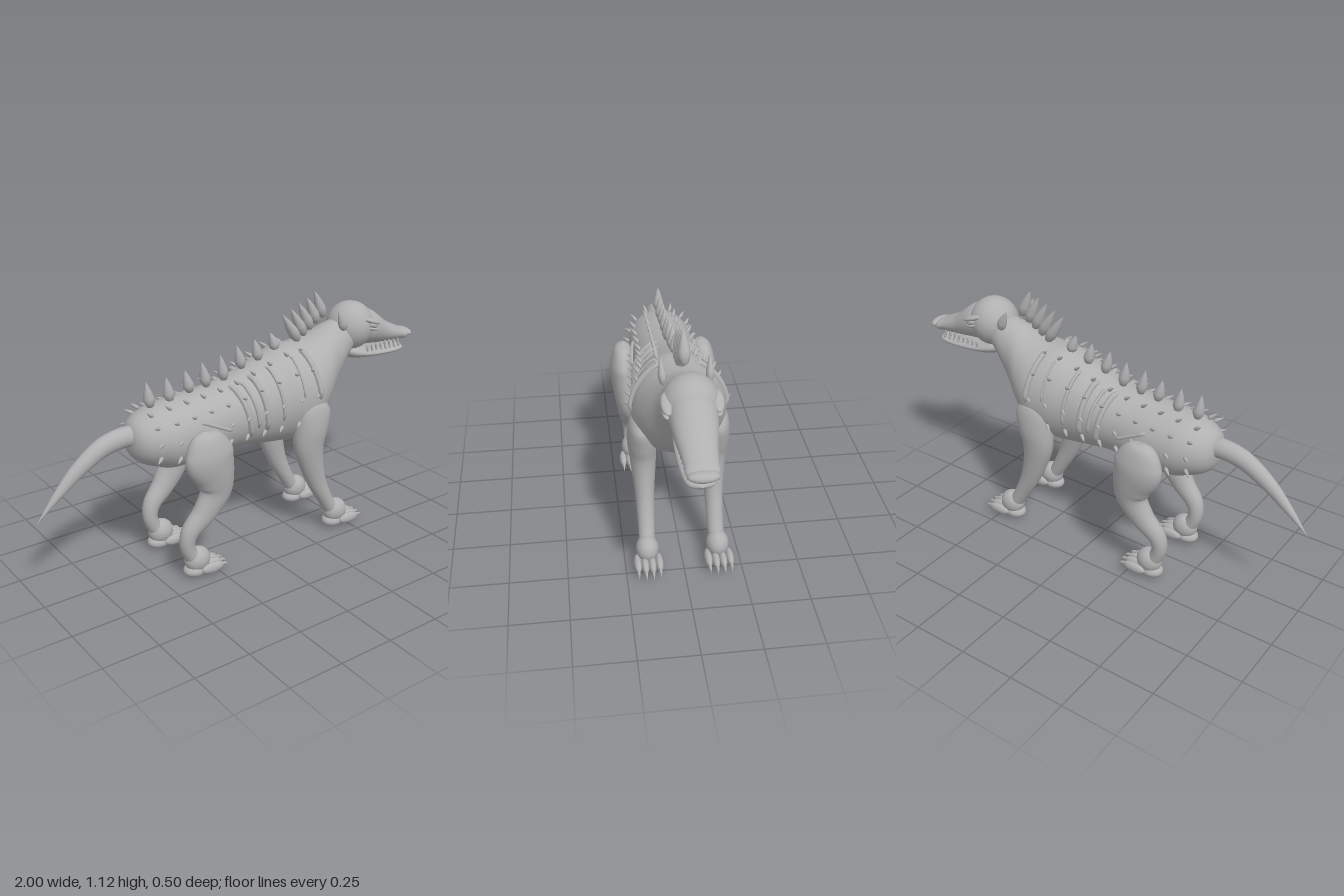
import * as THREE from 'three';

const V = (x, y, z = 0) => new THREE.Vector3(x, y, z);

export function createModel() {
  const model = new THREE.Group();
  const grey = new THREE.MeshStandardMaterial({ color: 0xb0b0b0 });
  const add = (name, geometry, parent = model) => {
    const mesh = new THREE.Mesh(geometry, grey);
    mesh.name = name;
    parent.add(mesh);
    return mesh;
  };
  const group = (name) => {
    const g = new THREE.Group();
    g.name = name;
    model.add(g);
    return g;
  };

  // Smooth cross-section along a list of [x, y, z, in-plane radius, z radius]
  function spline(rows) {
    const centre = new THREE.CatmullRomCurve3(rows.map(r => V(r[0], r[1], r[2])), false, 'catmullrom', 0.5);
    const radius = new THREE.CatmullRomCurve3(rows.map(r => V(r[3], r[4])), false, 'catmullrom', 0.5);
    return (t) => ({ p: centre.getPoint(t), tan: centre.getTangent(t), r: radius.getPoint(t) });
  }
  // Elliptic loft; sections are upright or follow the path in the xy plane
  function loft(rows, upright = false, steps = 48, sides = 28) {
    const at = spline(rows), pos = [], index = [];
    for (let i = 0; i <= steps; i++) {
      const { p, tan, r } = at(i / steps);
      const n = upright ? V(0, 1) : V(-tan.y, tan.x).normalize();
      for (let j = 0; j < sides; j++) {
        const a = j / sides * Math.PI * 2;
        const u = Math.max(r.x, 0.0004) * Math.cos(a), w = Math.max(r.y, 0.0004) * Math.sin(a);
        pos.push(p.x + n.x * u, p.y + n.y * u, p.z + w);
        if (i < steps) {
          const b = i * sides + j, c = i * sides + (j + 1) % sides;
          index.push(b, c, b + sides, c, c + sides, b + sides);
        }
      }
    }
    const g = new THREE.BufferGeometry();
    g.setAttribute('position', new THREE.Float32BufferAttribute(pos, 3));
    g.setIndex(index);
    g.computeVertexNormals();
    return g;
  }
  const ball = new THREE.SphereGeometry(1, 24, 16);
  function blob(name, centre, size, tilt = 0, parent = model) {
    const m = add(name, ball, parent);
    m.position.set(...centre);
    m.scale.set(...size);
    m.rotation.z = tilt;
    return m;
  }
  // Teardrop spike of unit height
  const leaf = new THREE.LatheGeometry(
    [[0.001, 0], [0.6, 0.08], [0.95, 0.25], [0.95, 0.4], [0.65, 0.65], [0.3, 0.86], [0.001, 1]]
      .map(q => new THREE.Vector2(...q)), 12);
  function spike(name, from, to, width, parent) {
    const m = add(name, leaf, parent), d = to.clone().sub(from);
    m.position.copy(from);
    m.scale.set(width, d.length(), width);
    m.quaternion.setFromUnitVectors(V(0, 1), d.normalize());
    return m;
  }

  // Torso and neck
  const bodyRows = [
    [-0.575, 0.645, 0, 0, 0], [-0.565, 0.645, 0, 0.06, 0.06], [-0.53, 0.642, 0, 0.1, 0.105],
    [-0.46, 0.64, 0, 0.13, 0.138], [-0.37, 0.635, 0, 0.148, 0.15], [-0.1, 0.655, 0, 0.155, 0.15],
    [0.1, 0.675, 0, 0.198, 0.17], [0.2, 0.688, 0, 0.22, 0.19], [0.3, 0.697, 0, 0.215, 0.198],
    [0.385, 0.738, 0, 0.188, 0.168], [0.465, 0.8, 0, 0.158, 0.12], [0.545, 0.868, 0, 0.108, 0.092],
    [0.6, 0.9, 0, 0.07, 0.07], [0.62, 0.91, 0, 0, 0]];
  add('body', loft(bodyRows, true, 72, 40));
  const bodyAt = spline(bodyRows);
  // Point on the flank at x, angle a from the spine, scaled by k
  function onBody(x, a, k = 1) {
    let lo = 0, hi = 1;
    for (let i = 0; i < 24; i++) {
      const mid = (lo + hi) / 2;
      if (bodyAt(mid).p.x < x) lo = mid; else hi = mid;
    }
    const { p, r } = bodyAt(lo);
    return V(x, p.y + r.x * k * Math.cos(a), r.y * k * Math.sin(a));
  }

  // Tail
  add('tail', loft([[-0.53, 0.66, 0, 0.042, 0.042], [-0.6, 0.668, 0, 0.044, 0.04], [-0.7, 0.645, 0, 0.041, 0.036],
    [-0.81, 0.575, 0, 0.033, 0.028], [-0.9, 0.495, 0, 0.02, 0.018], [-1, 0.395, 0, 0, 0]]));

  // Head
  blob('skull', [0.622, 0.932, 0], [0.112, 0.113, 0.112]);
  add('snout', loft([[0.62, 0.93, 0, 0.09, 0.1], [0.73, 0.91, 0, 0.084, 0.09], [0.82, 0.873, 0, 0.056, 0.075],
    [0.9, 0.85, 0, 0.037, 0.064], [0.95, 0.838, 0, 0.026, 0.058], [0.975, 0.835, 0, 0, 0]], true));
  blob('nose', [0.967, 0.84, 0], [0.029, 0.021, 0.058]);
  add('lowerJaw', loft([[0.56, 0.83, 0, 0, 0], [0.6, 0.812, 0, 0.03, 0.06], [0.7, 0.79, 0, 0.024, 0.073],
    [0.85, 0.776, 0, 0.02, 0.066], [0.925, 0.776, 0, 0.018, 0.05], [0.948, 0.778, 0, 0, 0]], true));
  for (const s of [-1, 1]) {
    blob('eye', [0.675, 0.945, s * 0.094], [0.032, 0.017, 0.022], -0.3);
    blob('upperLid', [0.672, 0.962, s * 0.094], [0.055, 0.013, 0.024], -0.35);
    blob('lowerLid', [0.672, 0.928, s * 0.096], [0.04, 0.009, 0.018], -0.25);
    const ear = spike('ear', V(0.515, 0.945, s * 0.09), V(0.463, 1.045, s * 0.096), 0.017);
    ear.scale.x = 0.024;
    for (let i = 0; i < 8; i++) {
      const x = 0.68 + i * 0.03, z = s * (0.068 - i * 0.0025);
      spike('upperTooth', V(x, 0.84, z), V(x, 0.799, z), 0.006);
      spike('lowerTooth', V(x + 0.015, 0.78, z * 0.9), V(x + 0.012, 0.817, z * 0.9), 0.006);
    }
  }

  // Spine crest: low plates on the back, tall ones on the nape
  const crest = group('spineCrest');
  const plates = [[-0.46, 0.765, -0.478, 0.885], [-0.365, 0.77, -0.382, 0.885], [-0.265, 0.79, -0.29, 0.895],
    [-0.18, 0.795, -0.205, 0.915], [-0.09, 0.805, -0.11, 0.928], [0.005, 0.84, -0.025, 0.955],
    [0.095, 0.86, 0.07, 0.965], [0.19, 0.89, 0.155, 0.98]];
  for (const [x, y, tx, ty] of plates) spike('plate', V(x, y), V(tx, ty), 0.025, crest);
  for (let i = 0; i < 5; i++) {
    const x = 0.32 + i * 0.035, y = 0.905 + i * 0.022;
    spike('nape', V(x, y), V(0.222 + i * 0.045, 1.05 + i * 0.0195), 0.026, crest);
  }

  // Quills in rows along the flanks
  const quills = group('quills');
  for (const s of [-1, 1]) for (const a of [0.43, 0.93, 1.46, 1.98]) for (let i = 0; i < 10; i++) {
    const x = -0.48 + i * 0.085;
    const from = onBody(x, a * s, 0.97);
    const out = V(0, Math.cos(a), s * Math.sin(a));
    spike('quill', from, from.clone().addScaledVector(out, 0.034).add(V(-0.04, 0)), 0.0085, quills);
  }

  // Raised ribs: [top x, bottom x, radius, start angle, end angle]
  const ribs = group('ribs');
  const ribRows = [[-0.1, -0.045, 0.013, 0.3, 2.1], [-0.05, -0.01, 0.008, 0.35, 1.9], [0.0, 0.035, 0.013, 0.3, 2.0],
    [0.085, 0.115, 0.008, 0.3, 1.9], [0.2, 0.21, 0.005, 0.4, 1.5], [0.265, 0.295, 0.012, 0.3, 1.6],
    [-0.3, -0.15, 0.008, 1.1, 1.65]];
  for (const s of [-1, 1]) for (const [x0, x1, r, a0, a1] of ribRows) {
    const pts = [];
    for (let i = 0; i <= 8; i++) {
      const t = i / 8, k = i % 8 ? 1.015 : 0.92;
      pts.push(onBody(x0 + (x1 - x0) * t, s * (a0 + (a1 - a0) * t), k));
    }
    add('rib', new THREE.TubeGeometry(new THREE.CatmullRomCurve3(pts), 32, r, 8), ribs);
  }

  // Legs and clawed feet
  const hind = [[-0.32, 0.69, 0.185, 0, 0], [-0.318, 0.67, 0.185, 0.06, 0.035], [-0.308, 0.62, 0.188, 0.1, 0.052],
    [-0.295, 0.56, 0.19, 0.115, 0.058], [-0.265, 0.47, 0.183, 0.092, 0.055], [-0.26, 0.395, 0.175, 0.075, 0.05],
    [-0.315, 0.305, 0.168, 0.056, 0.044], [-0.38, 0.235, 0.16, 0.042, 0.038], [-0.395, 0.165, 0.155, 0.034, 0.034],
    [-0.365, 0.09, 0.153, 0.034, 0.034]];
  const fore = [[0.3, 0.69, 0.165, 0, 0], [0.298, 0.675, 0.165, 0.05, 0.03], [0.288, 0.63, 0.162, 0.085, 0.05],
    [0.275, 0.55, 0.156, 0.085, 0.062], [0.268, 0.47, 0.152, 0.076, 0.058], [0.285, 0.38, 0.15, 0.062, 0.05],
    [0.322, 0.27, 0.15, 0.047, 0.04], [0.375, 0.165, 0.15, 0.036, 0.036], [0.42, 0.09, 0.152, 0.034, 0.034]];
  for (const s of [-1, 1]) for (const [name, rows, fx] of [['hindLeg', hind, -0.345], ['frontLeg', fore, 0.438]]) {
    const leg = group(name);
    add('limb', loft(rows.map(([x, y, z, a, b]) => [x, y, s * z, a, b])), leg);
    const z = s * 0.153;
    blob('paw', [fx, 0.085, z], [0.06, 0.058, 0.049], 0, leg);
    blob('pad', [fx - 0.012, 0.037, z], [0.055, 0.032, 0.045], 0, leg);
    for (let i = 0; i < 4; i++) {
      const off = (i - 1.5) * 0.031, reach = Math.abs(i - 1.5) < 1 ? 0.01 : 0;
      blob('toe', [fx + 0.052 + reach, 0.045, z + off], [0.056, 0.025, 0.017], 0, leg);
      const x = fx + 0.095 + reach, cz = z + off;
      add('claw', loft([[x - 0.01, 0.048, cz, 0.009, 0.008], [x + 0.02, 0.046, cz, 0.007, 0.006],
        [x + 0.04, 0.029, cz, 0, 0]], false, 10, 8), leg);
    }
  }
  return model;
}
